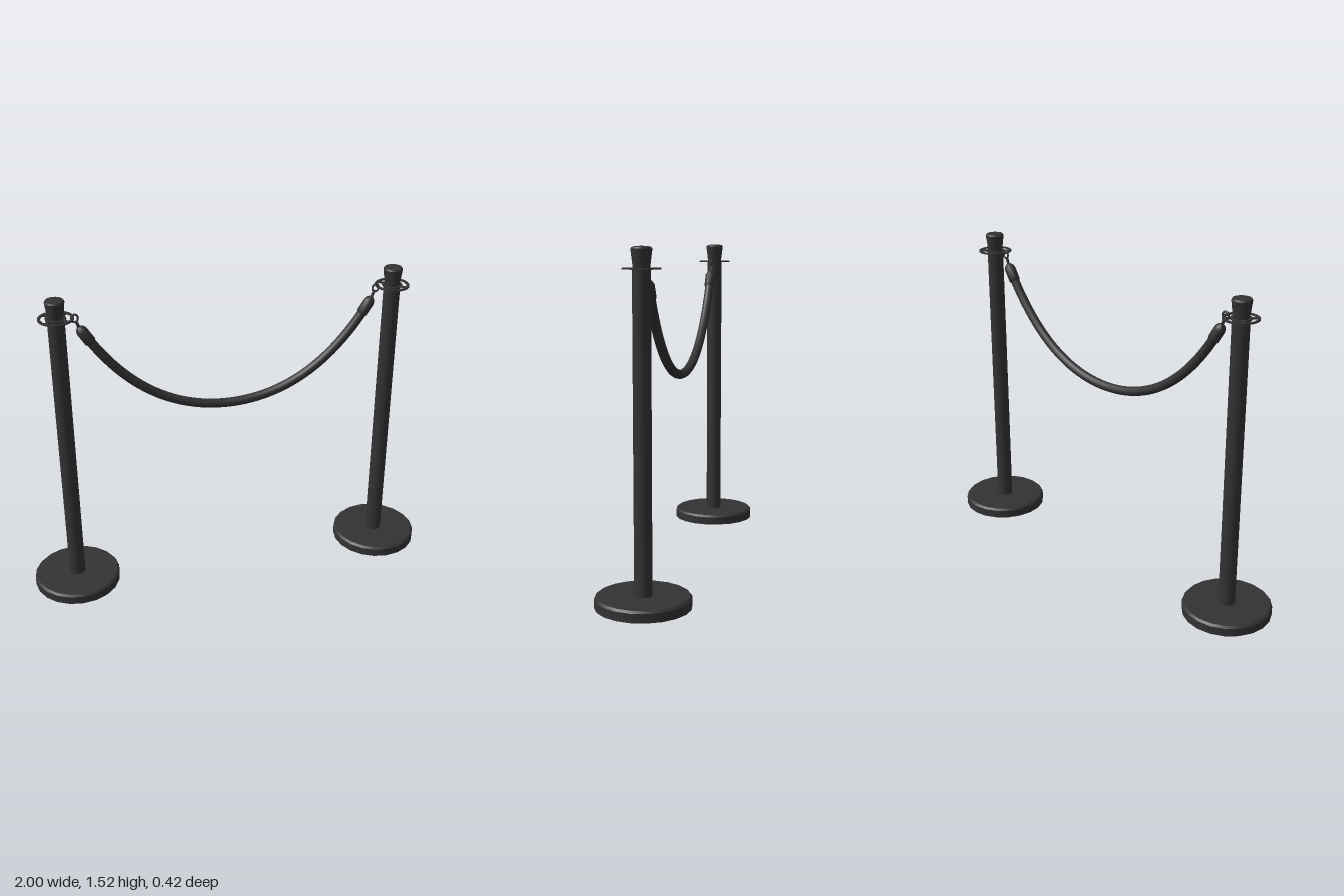
import * as THREE from 'three';
import { toCreasedNormals } from 'three/addons/utils/BufferGeometryUtils.js';

const POST_X = 0.79;
const RING_Y = 1.428;
const dark = new THREE.MeshStandardMaterial({ color: 0x333333 });

function add(parent, name, geometry) {
  const mesh = new THREE.Mesh(geometry, dark);
  mesh.name = name;
  parent.add(mesh);
  return mesh;
}

// Round part turned from [radius, height] pairs, with sharp edges kept
function lathe(points, segments) {
  const profile = points.map(([r, y]) => new THREE.Vector2(r, y));
  return toCreasedNormals(new THREE.LatheGeometry(profile, segments), 0.6);
}

// Thin ring plate: four curved slots leave a hub, four spokes and a rim
function ringPlate() {
  const plate = new THREE.Shape();
  plate.absarc(0, 0, 0.081, 0, Math.PI * 2, false);
  for (let i = 0; i < 4; i++) {
    const start = i * Math.PI / 2 + Math.PI / 4 + 0.13;
    const end = start + Math.PI / 2 - 0.26;
    const slot = new THREE.Path();
    slot.absarc(0, 0, 0.068, start, end, false);
    slot.absarc(0, 0, 0.047, end, start, true);
    slot.closePath();
    plate.holes.push(slot);
  }
  const geometry = new THREE.ExtrudeGeometry(plate, { depth: 0.006, bevelEnabled: false, curveSegments: 20 });
  geometry.rotateX(-Math.PI / 2);
  return toCreasedNormals(geometry, 0.6);
}

function stanchion() {
  const post = new THREE.Group();
  post.name = 'stanchion';
  add(post, 'base', lathe([[0, 0], [0.21, 0], [0.21, 0.04], [0.201, 0.05], [0, 0.05]], 20));
  add(post, 'pole', lathe([[0, 0.045], [0.039, 0.045], [0.039, RING_Y], [0, RING_Y]], 20));
  add(post, 'cap', lathe([
    [0, RING_Y], [0.035, RING_Y], [0.039, 1.46], [0.045, 1.508], [0.041, 1.515], [0.025, 1.519], [0, 1.52],
  ], 20));
  add(post, 'ringPlate', ringPlate()).position.y = RING_Y - 0.003;
  return post;
}

// Height of the hanging rope at x
const ropeY = (x) => 0.905 + 0.72 * x * x + 0.55 * x ** 4;

// Ferrule, shank and hook at the +x end of the rope
function ropeEnd() {
  const end = new THREE.Group();
  end.name = 'ropeEnd';
  const top = new THREE.Vector3(0.688, ropeY(0.688), 0);
  const bottom = new THREE.Vector3(0.643, ropeY(0.643), 0);
  const axis = top.clone().sub(bottom);
  const length = axis.length();
  const ferrule = add(end, 'ferrule', lathe([
    [0, 0], [0.023, 0], [0.027, 0.006], [0.027, length - 0.015], [0.02, length], [0.009, length + 0.01], [0, length + 0.01],
  ], 16));
  ferrule.position.copy(bottom);
  ferrule.quaternion.setFromUnitVectors(new THREE.Vector3(0, 1, 0), axis.normalize());
  const shank = new THREE.LineCurve3(top, new THREE.Vector3(0.702, 1.406, 0));
  add(end, 'hookShank', new THREE.TubeGeometry(shank, 1, 0.007, 8));
  const hook = add(end, 'hook', new THREE.TorusGeometry(0.0155, 0.0045, 8, 20));
  hook.scale.y = 1.15;
  hook.position.set(0.708, 1.421, 0);
  return end;
}

export function createModel() {
  const model = new THREE.Group();
  model.name = 'ropeBarrier';
  for (const side of [-1, 1]) {
    const post = stanchion();
    post.position.x = side * POST_X;
    model.add(post);
    const end = ropeEnd();
    if (side < 0) end.rotation.y = Math.PI;
    model.add(end);
  }

  // Sagging rope
  const points = [];
  for (let i = -10; i <= 10; i++) points.push(new THREE.Vector3(i * 0.0675, ropeY(i * 0.0675), 0));
  add(model, 'rope', new THREE.TubeGeometry(new THREE.CatmullRomCurve3(points), 48, 0.022, 14));
  return model;
}
